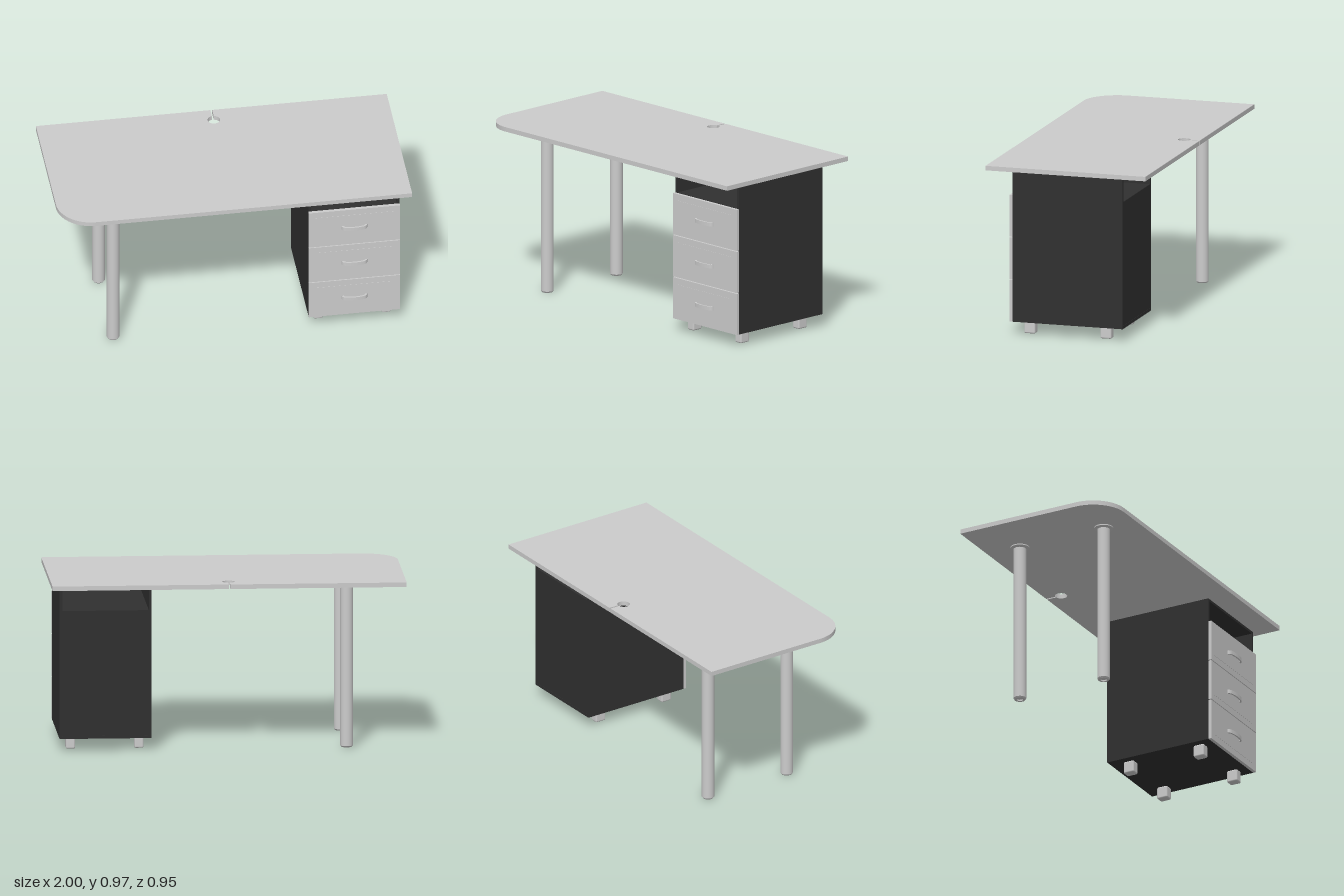
import * as THREE from 'three';
import { RoundedBoxGeometry } from 'three/addons/geometries/RoundedBoxGeometry.js';

const grey = new THREE.MeshStandardMaterial({ color: 0xcccccc });
const dark = new THREE.MeshStandardMaterial({ color: 0x303030 });

function add(parent, name, geometry, x = 0, y = 0, z = 0, material = grey) {
  const mesh = new THREE.Mesh(geometry, material);
  mesh.name = name;
  mesh.position.set(x, y, z);
  parent.add(mesh);
  return mesh;
}

// box given by its lower and upper limits on each axis
function panel(parent, name, [x0, x1], [y0, y1], [z0, z1], material = grey) {
  return add(parent, name, new THREE.BoxGeometry(x1 - x0, y1 - y0, z1 - z0),
    (x0 + x1) / 2, (y0 + y1) / 2, (z0 + z1) / 2, material);
}

// top with one round front corner, and a cable hole slotted to the back edge
function topGeometry() {
  const d = 0.473, r = 0.2, holeR = 0.035, holeY = 0.38, slot = 0.005;
  const a = Math.acos(slot / holeR);
  const s = new THREE.Shape();
  s.moveTo(-1 + r, -d);
  s.lineTo(1, -d);
  s.lineTo(1, d);
  s.lineTo(slot, d);
  s.absarc(0, holeY, holeR, a, Math.PI - a - 2 * Math.PI, true);
  s.lineTo(-slot, d);
  s.lineTo(-1, d);
  s.lineTo(-1, -d + r);
  s.absarc(-1 + r, -d + r, r, Math.PI, 1.5 * Math.PI, false);
  const g = new THREE.ExtrudeGeometry(s, { depth: 0.026, bevelEnabled: false, curveSegments: 32 });
  return g.rotateX(-Math.PI / 2);
}

// bowed bar handle, thin at the middle and footed at both ends
function handleGeometry() {
  const s = new THREE.Shape();
  s.moveTo(-0.073, 0);
  s.quadraticCurveTo(-0.07, 0.016, -0.05, 0.02);
  s.quadraticCurveTo(0, 0.031, 0.05, 0.02);
  s.quadraticCurveTo(0.07, 0.016, 0.073, 0);
  s.lineTo(0.06, 0);
  s.quadraticCurveTo(0.058, 0.01, 0.045, 0.012);
  s.quadraticCurveTo(0, 0.021, -0.045, 0.012);
  s.quadraticCurveTo(-0.058, 0.01, -0.06, 0);
  s.closePath();
  const g = new THREE.ExtrudeGeometry(s, { depth: 0.022, bevelEnabled: false, curveSegments: 10 });
  return g.translate(0, 0, -0.011).rotateX(Math.PI / 2);
}

// round leg with a mounting flange and a small hollow in its foot
function legGeometry() {
  const profile = [[0, 0.012], [0.018, 0.012], [0.018, 0.004], [0.03, 0.004], [0.036, 0.012],
    [0.036, 0.938], [0.055, 0.943], [0.055, 0.949]];
  // repeat each corner so that the normals stay crisp
  const points = profile.flatMap(([r, y]) => [new THREE.Vector2(r, y), new THREE.Vector2(r, y)]);
  const g = new THREE.LatheGeometry(points, 40);
  return g;
}

export function createModel() {
  const desk = new THREE.Group();
  desk.name = 'desk';
  add(desk, 'deskTop', topGeometry(), 0, 0.949);

  const leg = legGeometry();
  for (const z of [-0.27, 0.27]) add(desk, 'roundLeg', leg, -0.674, 0, z);

  // cabinet carcass, open at the top from front to back
  const cabinet = new THREE.Group();
  cabinet.name = 'cabinet';
  desk.add(cabinet);
  const X = [0.43, 0.95], Z = [-0.322, 0.33], t = 0.016;
  const inner = [X[0] + t, X[1] - t];
  panel(cabinet, 'cabinetBottom', X, [0.075, 0.091], Z, dark);
  panel(cabinet, 'cabinetSideRight', [X[0], inner[0]], [0.091, 0.948], Z, dark);
  panel(cabinet, 'cabinetSideLeft', [inner[1], X[1]], [0.091, 0.948], Z, dark);
  panel(cabinet, 'cabinetTop', inner, [0.934, 0.948], Z, dark);
  panel(cabinet, 'cabinetShelf', inner, [0.792, 0.807], Z, dark);
  panel(cabinet, 'cabinetBack', inner, [0.091, 0.792], [Z[0] + 0.001, Z[0] + t], dark);

  // three drawers with a shallow raised field and a handle
  const handle = handleGeometry();
  for (let i = 0; i < 3; i++) {
    const y = 0.075 + i * 0.245;
    const drawer = new THREE.Group();
    drawer.name = 'drawer' + (i + 1);
    cabinet.add(drawer);
    panel(drawer, 'drawerFront', X, [y, y + 0.24], [0.33, 0.349]);
    panel(drawer, 'drawerField', [0.467, 0.913], [y + 0.037, y + 0.203], [0.348, 0.3505]);
    add(drawer, 'drawerHandle', handle, 0.69, y + 0.12, 0.35);
  }

  // block feet
  const foot = new RoundedBoxGeometry(0.052, 0.072, 0.066, 3, 0.009);
  for (const x of [0.496, 0.883])
    for (const z of [-0.208, 0.243]) add(cabinet, 'cabinetFoot', foot, x, 0.04, z);

  return desk;
}
